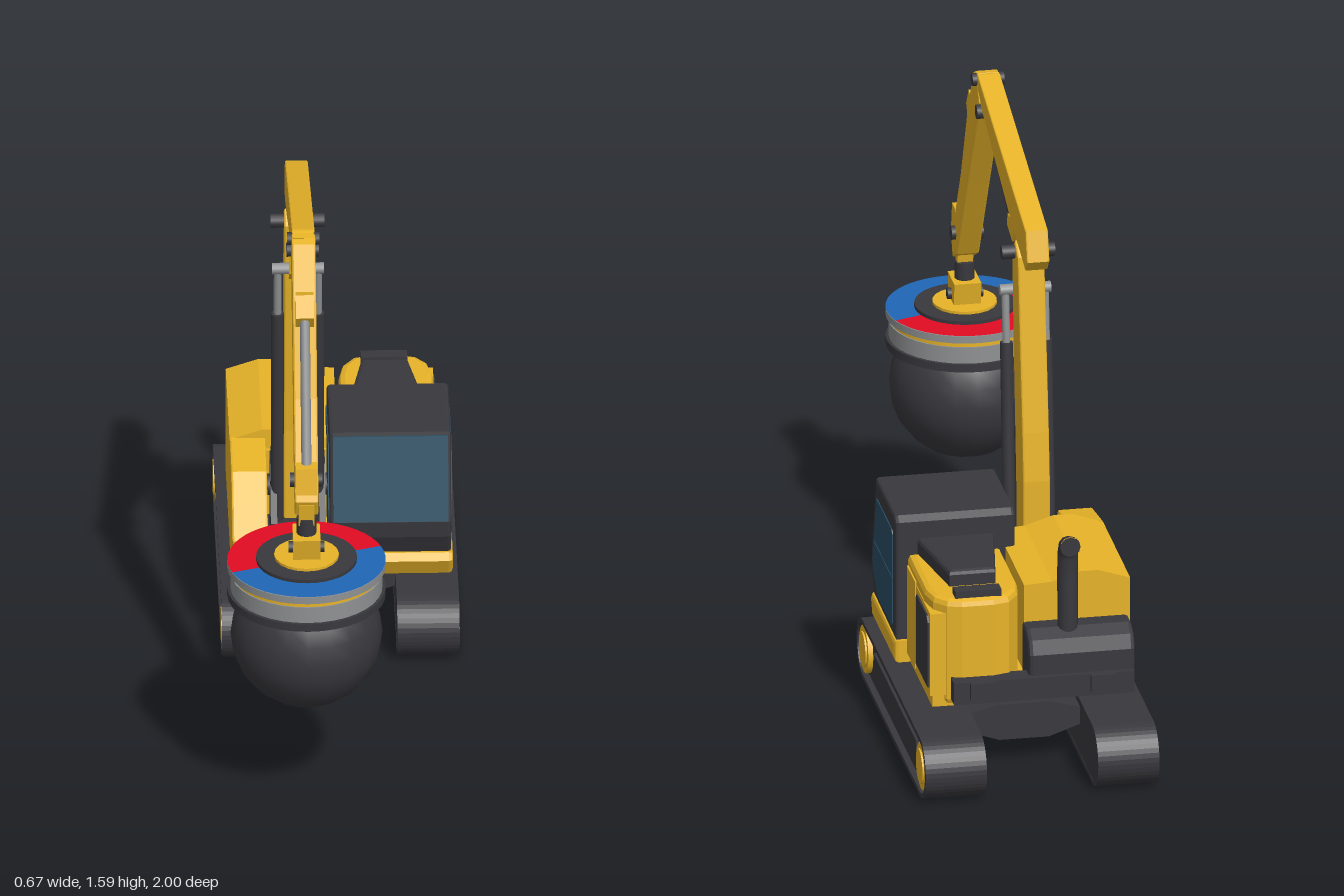
import * as THREE from 'three';

const mat = (name, color, side = THREE.FrontSide) => Object.assign(new THREE.MeshStandardMaterial({ color, side }), { name });

export function createModel() {
  const root = new THREE.Group();
  root.name = 'excavator';
  const yellow = mat('yellow paint', 0xe8b428);
  const dark = mat('dark metal', 0x39383d);
  const glass = mat('tinted glass', 0x294e63);
  const grey = mat('steel', 0x8f9192);
  const red = mat('red paint', 0xe20c22, THREE.DoubleSide);
  const blue = mat('blue paint', 0x1f66b4, THREE.DoubleSide);
  const BX = -0.115; // centre line of the boom

  const add = (name, geo, m, x = 0, y = 0, z = 0) => {
    const mesh = new THREE.Mesh(geo, m);
    mesh.name = name;
    mesh.position.set(x, y, z);
    root.add(mesh);
    return mesh;
  };
  const extrude = (pts, depth, b) => {
    const shape = pts instanceof THREE.Shape ? pts : new THREE.Shape(pts.map(p => new THREE.Vector2(...p)));
    const g = new THREE.ExtrudeGeometry(shape, {
      depth: depth - 2 * b, bevelEnabled: b > 0, bevelSize: b, bevelThickness: b,
      bevelOffset: -b, bevelSegments: 2, curveSegments: 10,
    });
    return g.translate(0, 0, b);
  };
  // profile in (z, y), spanning x0..x1
  const side = (name, pts, x0, x1, m, b = 0) =>
    add(name, extrude(pts, x1 - x0, b).rotateY(-Math.PI / 2), m, x1);
  // outline in (x, z), spanning y0..y1
  const plan = (name, pts, y0, y1, m, b = 0) =>
    add(name, extrude(pts, y1 - y0, b).rotateX(Math.PI / 2), m, 0, y1);
  // outline in (x, y), spanning z0..z1
  const front = (name, pts, z0, z1, m) => add(name, extrude(pts, z1 - z0, 0), m, 0, 0, z0);
  const box = (name, x0, x1, y0, y1, z0, z1, m) =>
    add(name, new THREE.BoxGeometry(x1 - x0, y1 - y0, z1 - z0), m, (x0 + x1) / 2, (y0 + y1) / 2, (z0 + z1) / 2);
  const rod = (name, a, b, r, m, n = 12) => {
    const p = new THREE.Vector3(...a), q = new THREE.Vector3(...b), d = q.clone().sub(p);
    const mesh = add(name, new THREE.CylinderGeometry(r, r, d.length(), n), m);
    mesh.position.copy(p).add(q).multiplyScalar(0.5);
    mesh.quaternion.setFromUnitVectors(new THREE.Vector3(0, 1, 0), d.normalize());
  };
  const pin = (name, y, z, w, r, m) => rod(name, [BX - w, y, z], [BX + w, y, z], r, m);

  // Tracks, with yellow hubs on the outer faces only
  const stadium = (r, C) => {
    const s = new C();
    s.absarc(-0.0475, 0.0875, r, -Math.PI / 2, Math.PI / 2, false);
    s.absarc(-0.9125, 0.0875, r, Math.PI / 2, Math.PI * 1.5, false);
    s.closePath();
    return s;
  };
  for (const s of [-1, 1]) {
    const at = (a, b) => [Math.min(s * a, s * b), Math.max(s * a, s * b)];
    const belt = stadium(0.0875, THREE.Shape);
    belt.holes.push(stadium(0.074, THREE.Path));
    side('trackBelt', belt, ...at(0.157, 0.33), dark);
    side('trackFrame', stadium(0.074, THREE.Shape), ...at(0.158, 0.312), dark);
    box('trackRail', ...at(0.17, 0.32), 0.055, 0.12, -0.8, -0.16, dark);
    for (const z of [-0.05, -0.905]) {
      rod('trackHub', [s * 0.25, 0.0875, z], [s * 0.326, 0.0875, z], 0.068, yellow, 16);
      rod('hubCap', [s * 0.32, 0.0875, z], [s * 0.331, 0.0875, z], 0.05, yellow, 16);
    }
  }

  // Undercarriage and slewing ring
  front('carBody', [[-0.17, 0.105], [-0.07, 0.07], [0.07, 0.07], [0.17, 0.105], [0.17, 0.15], [0.07, 0.176], [-0.07, 0.176], [-0.17, 0.15]], -0.72, -0.24, dark);
  add('slewRing', new THREE.CylinderGeometry(0.19, 0.19, 0.05, 28), dark, 0.03, 0.19, -0.41);

  // Upper deck
  side('deckRight', [[-0.72, 0.21], [-0.72, 0.29], [-0.05, 0.29], [-0.09, 0.21]], -0.3, -0.03, yellow);
  side('cabSill', [[-0.45, 0.21], [-0.45, 0.275], [-0.1, 0.28], [-0.085, 0.26], [-0.11, 0.21]], -0.03, 0.315, yellow, 0.012);
  box('deckLeft', -0.03, 0.27, 0.21, 0.27, -0.78, -0.44, yellow);

  // Right bodywork
  front('rightBody', [[-0.3, 0.21], [0.0, 0.21], [0.0, 0.53], [-0.08, 0.535], [-0.16, 0.56], [-0.21, 0.56], [-0.3, 0.53]], -0.72, -0.31, yellow);
  side('rightNose', [[-0.315, 0.21], [-0.315, 0.535], [-0.16, 0.51], [-0.1, 0.445], [-0.03, 0.36], [-0.038, 0.28], [-0.09, 0.21]], -0.3, -0.2, yellow, 0.006);
  box('boomBayWall', -0.2, -0.03, 0.28, 0.5, -0.33, -0.3, yellow);
  box('boomBayFloor', -0.195, -0.035, 0.285, 0.298, -0.3, -0.075, dark);
  for (const x of [-0.19, -0.055])
    side('boomBracket', [[-0.3, 0.28], [-0.3, 0.5], [-0.22, 0.5], [-0.13, 0.36], [-0.13, 0.28]], x, x + 0.018, dark);

  // Engine housing
  plan('engineHousing', [[0.012, -0.43], [0.275, -0.43], [0.275, -0.69], [0.262, -0.75], [0.23, -0.788], [0.19, -0.8], [0.1, -0.8], [0.055, -0.788], [0.022, -0.74], [0.012, -0.68]], 0.215, 0.53, yellow, 0.018);
  box('serviceDoor', 0.27, 0.28, 0.24, 0.5, -0.57, -0.45, yellow);
  side('sideGrille', [[-0.772, 0.265], [-0.772, 0.46], [-0.755, 0.475], [-0.6, 0.475], [-0.59, 0.46], [-0.59, 0.265]], 0.2, 0.282, dark);
  side('grilleFrame', [[-0.785, 0.245], [-0.785, 0.49], [-0.575, 0.49], [-0.575, 0.245]], 0.2, 0.277, yellow);
  plan('engineHood', [[0.03, -0.43], [0.25, -0.43], [0.205, -0.69], [0.075, -0.69]], 0.51, 0.575, dark, 0.012);
  box('rearVent', 0.075, 0.205, 0.5, 0.55, -0.78, -0.74, dark);

  // Counterweight, bumper and exhaust
  side('counterweight', [[-0.71, 0.23], [-0.71, 0.42], [-0.77, 0.42], [-0.81, 0.4], [-0.825, 0.36], [-0.825, 0.23]], -0.295, 0.005, dark, 0.012);
  box('bumper', -0.29, 0.22, 0.235, 0.3, -0.84, -0.78, dark);
  for (const x of [-0.2, 0.14]) box('bumperBlock', x - 0.035, x + 0.035, 0.25, 0.3, -0.855, -0.83, dark);
  const pipe = new THREE.CatmullRomCurve3([[0.4, -0.762], [0.5, -0.762], [0.6, -0.762], [0.645, -0.768], [0.665, -0.782], [0.67, -0.805]].map(([y, z]) => new THREE.Vector3(BX, y, z)));
  add('exhaustPipe', new THREE.TubeGeometry(pipe, 24, 0.029, 12), dark);
  add('exhaustOutlet', new THREE.CircleGeometry(0.029, 12).rotateY(Math.PI), dark, BX, 0.67, -0.804);

  // Cab with window plates
  side('cab', [[-0.44, 0.27], [-0.44, 0.625], [-0.42, 0.64], [-0.14, 0.64], [-0.075, 0.39], [-0.08, 0.34], [-0.11, 0.275]], -0.028, 0.31, dark, 0.01);
  side('windscreen', [[-0.139, 0.63], [-0.132, 0.63], [-0.071, 0.393], [-0.079, 0.393]], -0.018, 0.302, glass);
  for (const x of [0.307, -0.031]) {
    side('frontSideWindow', [[-0.235, 0.445], [-0.235, 0.3], [-0.19, 0.3], [-0.115, 0.355], [-0.113, 0.39], [-0.127, 0.445]], x, x + 0.006, glass);
    side('rearSideWindow', [[-0.24, 0.445], [-0.24, 0.3], [-0.395, 0.3], [-0.405, 0.31], [-0.405, 0.445]], x, x + 0.006, glass);
    side('upperSideWindow', [[-0.128, 0.449], [-0.168, 0.588], [-0.395, 0.588], [-0.405, 0.578], [-0.405, 0.449]], x, x + 0.006, glass);
  }

  // Boom: mast, beam and stick
  side('mast', [[-0.3, 0.34], [-0.3, 0.66], [-0.285, 0.8], [-0.215, 1.3], [-0.17, 1.335], [-0.13, 1.3], [-0.145, 1.1], [-0.19, 0.62], [-0.2, 0.34]], BX - 0.038, BX + 0.038, yellow, 0.005);
  side('beam', [[0.46, 1.585], [0.42, 1.59], [-0.3, 1.415], [-0.325, 1.33], [-0.295, 1.295], [-0.21, 1.32], [-0.11, 1.345], [0.36, 1.51]], BX - 0.032, BX + 0.032, yellow, 0.004);
  side('stick', [[0.48, 1.575], [0.43, 1.59], [0.39, 1.515], [0.58, 1.19], [0.735, 0.92], [0.79, 0.89], [0.81, 0.94], [0.67, 1.19], [0.56, 1.44]], BX - 0.033, BX + 0.033, yellow, 0.005);
  pin('mastPin', 1.3, -0.165, 0.075, 0.02, dark);
  pin('elbowPin', 1.57, 0.435, 0.045, 0.018, dark);
  pin('stickCylinderPin', 1.5, 0.37, 0.045, 0.02, dark);
  pin('wristPin', 0.98, 0.75, 0.045, 0.02, dark);
  pin('boomPin', 0.42, -0.25, 0.085, 0.03, dark);

  // Hydraulic cylinders
  for (const s of [-1, 1]) {
    const x = BX + s * 0.056;
    rod('boomRod', [x, 1.17, -0.125], [x, 1.0, -0.145], 0.011, grey);
    rod('boomCylinder', [x, 1.02, -0.142], [x, 0.34, -0.2], 0.018, dark);
  }
  pin('boomRodBar', 1.17, -0.125, 0.072, 0.016, grey);
  side('boomRodBracket', [[-0.15, 1.12], [-0.11, 1.16], [-0.095, 1.23], [-0.13, 1.265], [-0.17, 1.2]], BX - 0.025, BX + 0.025, yellow);
  rod('beamRod', [BX, 1.495, 0.36], [BX, 1.41, 0.16], 0.012, grey);
  rod('beamCylinder', [BX, 1.425, 0.2], [BX, 1.325, -0.04], 0.024, dark);
  side('beamCylinderEye', [[0.0, 1.345], [0.01, 1.31], [-0.07, 1.29], [-0.1, 1.33], [-0.08, 1.355]], BX - 0.026, BX + 0.026, yellow);
  rod('stickRod', [BX, 1.43, 0.597], [BX, 1.03, 0.782], 0.014, grey);
  side('stickRodMount', [[0.54, 1.46], [0.59, 1.475], [0.625, 1.42], [0.6, 1.38], [0.57, 1.39]], BX - 0.025, BX + 0.025, yellow);
  side('wristLink', [[0.77, 1.045], [0.81, 1.045], [0.825, 0.97], [0.79, 0.955], [0.76, 1.0]], BX - 0.03, BX + 0.03, yellow);
  side('hangerLink', [[0.76, 0.93], [0.81, 0.93], [0.8, 0.86], [0.775, 0.86]], BX - 0.022, BX + 0.022, yellow);

  // Lifting head: swivel, ringed plate and ball
  const HZ = 0.781;
  const disc = (name, r, y0, y1, m, n = 36) => add(name, new THREE.CylinderGeometry(r, r, y1 - y0, n), m, BX, (y0 + y1) / 2, HZ);
  disc('swivel', 0.028, 0.81, 0.88, dark, 12);
  side('hangerBlock', [[0.833, 0.83], [0.731, 0.83], [0.741, 0.765], [0.821, 0.765]], BX - 0.038, BX + 0.038, yellow);
  rod('hangerPin', [BX - 0.05, 0.785, HZ], [BX + 0.05, 0.785, HZ], 0.016, dark);
  disc('yellowHub', 0.09, 0.745, 0.763, yellow, 20);
  disc('darkHub', 0.14, 0.735, 0.755, dark);
  disc('topFlange', 0.22, 0.722, 0.743, grey);
  disc('paintedBand', 0.207, 0.705, 0.722, yellow);
  disc('middleBand', 0.211, 0.658, 0.706, grey);
  disc('lowerFlange', 0.22, 0.635, 0.658, dark);
  [red, blue].forEach((m, i) => add(i ? 'blueHalfRing' : 'redHalfRing',
    new THREE.RingGeometry(0.138, 0.22, 24, 1, 0.33 + i * Math.PI, Math.PI).rotateX(-Math.PI / 2), m, BX, 0.745, HZ));
  add('ball', new THREE.SphereGeometry(0.211, 20, 12), dark, BX, 0.516, HZ);

  return root;
}
